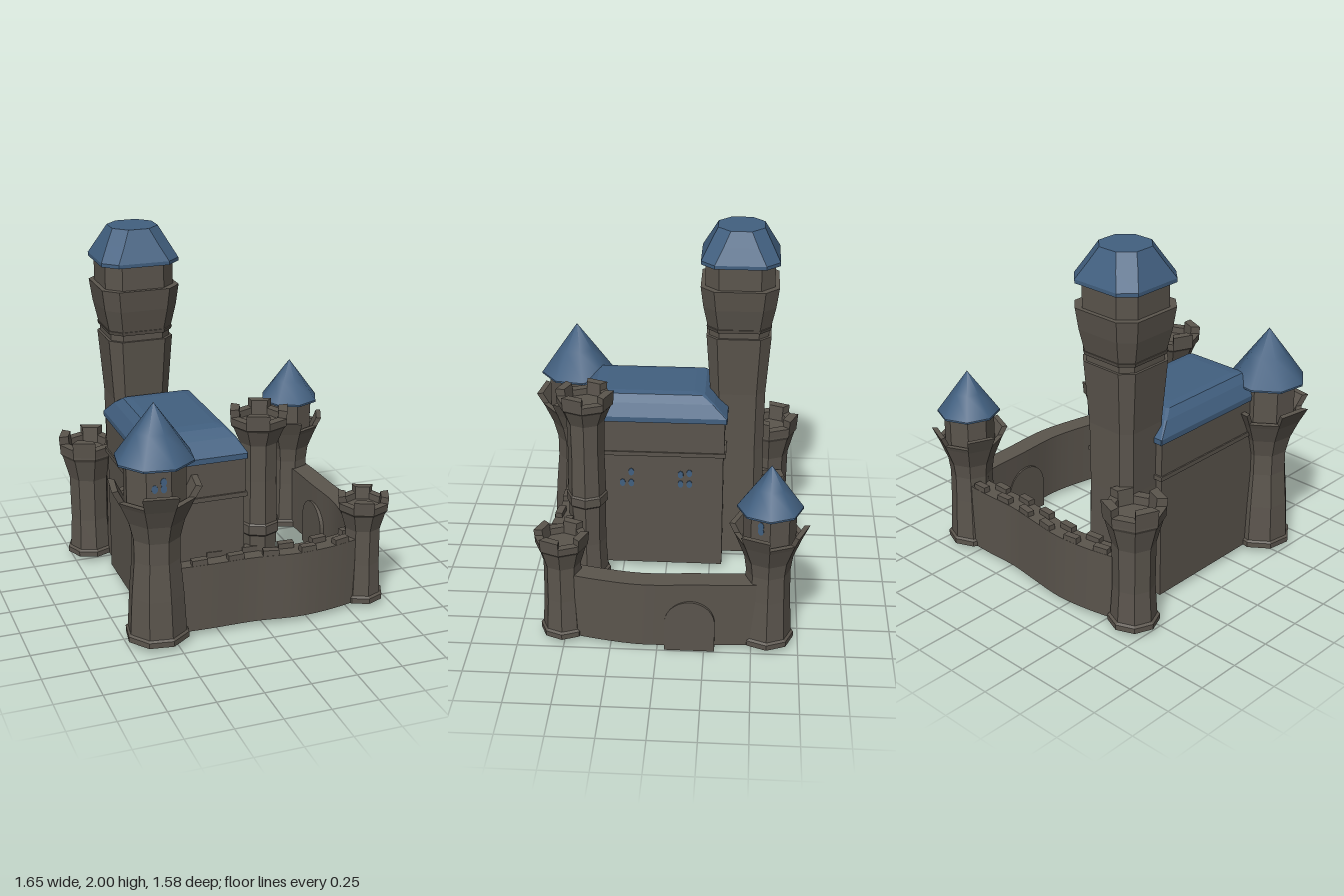
import * as THREE from 'three';

const stone = new THREE.MeshStandardMaterial({ color: 0x5b554d });
stone.name = 'stone';
const slate = new THREE.MeshStandardMaterial({ color: 0x426080 });
slate.name = 'blueSlate';

function add(parent, name, geometry, material, x = 0, y = 0, z = 0) {
  const mesh = new THREE.Mesh(geometry, material);
  mesh.name = name;
  mesh.position.set(x, y, z);
  parent.add(mesh);
  return mesh;
}

function faceted(geometry) {
  const g = geometry.index ? geometry.toNonIndexed() : geometry;
  g.computeVertexNormals();
  return g;
}

// Eight-sided turned form whose first facet faces the angle "turn" (from +x towards +z)
function octagonal(points, turn) {
  const pts = points.map(([r, y]) => new THREE.Vector2(r, y));
  return new THREE.LatheGeometry(pts, 8, Math.PI / 2 - turn - Math.PI / 8);
}

// Chamfered rectangular rings [halfX, halfZ, chamfer, y] joined into a closed solid
function loft(rings) {
  const loops = rings.map(([a, b, c, y]) => [
    [a, -b + c], [a, b - c], [a - c, b], [-a + c, b],
    [-a, b - c], [-a, -b + c], [-a + c, -b], [a - c, -b],
  ].map(([x, z]) => [x, y, z]));
  const pos = [];
  const tri = (...p) => p.forEach((v) => pos.push(...v));
  const last = loops[loops.length - 1];
  for (let k = 0; k + 1 < loops.length; k++) {
    for (let i = 0; i < 8; i++) {
      const j = (i + 1) % 8, b = loops[k], t = loops[k + 1];
      tri(b[i], t[i], t[j]);
      tri(b[i], t[j], b[j]);
    }
  }
  for (let i = 1; i < 7; i++) {
    tri(last[0], last[i + 1], last[i]);
    tri(loops[0][0], loops[0][i], loops[0][i + 1]);
  }
  const g = new THREE.BufferGeometry();
  g.setAttribute('position', new THREE.Float32BufferAttribute(pos, 3));
  return faceted(g);
}

// One merlon on a facet of an octagonal crown, leaning out from r0 to r1
function crownBlock(angle, r0, r1, thick, y0, y1) {
  const g = new THREE.BoxGeometry(1, 1, 1);
  const p = g.attributes.position;
  for (let i = 0; i < p.count; i++) {
    const a = angle - p.getX(i) * Math.PI / 4;
    const up = p.getY(i) > 0;
    const r = (up ? r1 : r0) - (p.getZ(i) < 0 ? thick : 0);
    p.setXYZ(i, r * Math.cos(a), up ? y1 : y0, r * Math.sin(a));
  }
  return faceted(g);
}

// Round tower: shaft profile, hollow crown and four merlons
function tower(parent, name, x, z, turn, shaft, crown) {
  const group = new THREE.Group();
  group.name = name;
  group.position.set(x, 0, z);
  parent.add(group);
  const { r0, r1, y0, yMid, y1, thick } = crown;
  const rMid = r0 + (r1 - r0) * (yMid - y0) / (y1 - y0);
  const foot = shaft[0][0] - 0.035;
  add(group, 'shaft', faceted(octagonal([
    [0, 0.06], [foot, 0.06], [foot, 0.03], ...shaft,
    [r0, y0], [rMid, yMid], [rMid - thick, yMid], [r0 - thick, y0], [0, y0],
  ], turn)), stone);
  for (let i = 0; i < 4; i++) {
    add(group, 'merlon', crownBlock(turn + i * Math.PI / 2, rMid, r1, thick, yMid, y1), stone);
  }
  return group;
}

// Drum and pointed roof above a tower's crown
function turret(group, turn, r, y0, y1, roofR, apex) {
  add(group, 'turretDrum', faceted(octagonal([[r, y0], [r, y1 + 0.01]], turn)), stone);
  add(group, 'roofUnderside', faceted(octagonal([[0, y1], [roofR, y1], [roofR, y1 + 0.01]], turn)), slate);
  add(group, 'pointedRoof', octagonal([
    [roofR, y1 + 0.01], [roofR * 0.5, y1 + (apex - y1) * 0.52], [0, apex],
  ], turn), slate);
}

// Curving wall of given thickness following ground points [x, z]
function wall(parent, name, points, merlons) {
  const curve = new THREE.CatmullRomCurve3(points.map(([x, z]) => new THREE.Vector3(x, 0, z)));
  const side = (u) => curve.getTangentAt(u).cross(new THREE.Vector3(0, 1, 0)).normalize();
  const g = new THREE.BoxGeometry(1, 0.375, 0.115, 24, 1, 1);
  const p = g.attributes.position;
  for (let i = 0; i < p.count; i++) {
    const u = THREE.MathUtils.clamp(p.getX(i) + 0.5, 0, 1);
    const v = curve.getPointAt(u).addScaledVector(side(u), p.getZ(i));
    p.setXYZ(i, v.x, p.getY(i) + 0.2175, v.z);
  }
  g.computeVertexNormals();
  add(parent, name, g, stone);
  // staggered merlons on both edges
  for (let i = 0; i < merlons; i++) {
    const u = (i + 0.5) / merlons;
    const v = curve.getPointAt(u).addScaledVector(side(u), i % 2 ? 0.036 : -0.036);
    const t = curve.getTangentAt(u);
    const m = add(parent, 'wallMerlon', new THREE.BoxGeometry(0.085, 0.045, 0.04), stone, v.x, 0.413, v.z);
    m.rotation.set(0, Math.atan2(-t.z, t.x), 0.04 * Math.sin(i * 2.3));
  }
}

function windowPane(parent, x, y, z, yaw) {
  const g = new THREE.CylinderGeometry(0.019, 0.019, 0.008, 10);
  g.rotateX(Math.PI / 2).scale(0.85, 1.2, 1);
  add(parent, 'window', g, slate, x, y, z).rotation.y = yaw;
}

export function createModel() {
  const model = new THREE.Group();
  model.name = 'castle';
  const deg = Math.PI / 180;

  // Corner towers
  const big = tower(model, 'frontLeftTower', -0.58, 0.55, 9 * deg, [
    [0.172, 0.03], [0.172, 0.06], [0.16, 0.07], [0.148, 0.28], [0.13, 0.48], [0.13, 0.6], [0.155, 0.7],
  ], { r0: 0.2, r1: 0.248, y0: 0.8, yMid: 0.825, y1: 0.89, thick: 0.035 });
  turret(big, 9 * deg, 0.165, 0.79, 1.02, 0.21, 1.32);
  for (const [dx, y] of [[-0.045, 0.915], [0, 0.915], [0, 0.95]]) {
    windowPane(big, dx, y, 0.153 + dx * 0.16, -9 * deg);
  }

  const back = tower(model, 'backRightTower', 0.617, -0.58, 22 * deg, [
    [0.145, 0.03], [0.145, 0.06], [0.132, 0.07], [0.12, 0.3], [0.117, 0.45], [0.128, 0.53],
  ], { r0: 0.172, r1: 0.21, y0: 0.64, yMid: 0.665, y1: 0.72, thick: 0.03 });
  turret(back, 22 * deg, 0.138, 0.63, 0.82, 0.172, 1.065);
  for (const y of [0.745, 0.775]) windowPane(back, 0.118, y, 0.046, 68 * deg);

  const small = (s) => [[0.125 * s, 0.03], [0.125 * s, 0.06], [0.112 * s, 0.07], [0.102 * s, 0.25]];
  tower(model, 'frontRightTower', 0.607, 0.51, 22.5 * deg,
    [...small(1), [0.1, 0.45], [0.128, 0.545], [0.14, 0.56]],
    { r0: 0.14, r1: 0.147, y0: 0.565, yMid: 0.6, y1: 0.635, thick: 0.045 });
  tower(model, 'backLeftTower', -0.635, -0.58, 22.5 * deg,
    [...small(1.1), [0.115, 0.5], [0.15, 0.63], [0.163, 0.65]],
    { r0: 0.163, r1: 0.17, y0: 0.66, yMid: 0.705, y1: 0.75, thick: 0.055 });
  tower(model, 'innerTower', 0.025, 0.44, 22.5 * deg,
    [...small(1), [0.105, 0.49], [0.115, 0.5], [0.115, 0.55], [0.107, 0.56], [0.102, 0.8], [0.105, 1.0],
      [0.14, 1.085], [0.155, 1.1]],
    { r0: 0.155, r1: 0.16, y0: 1.105, yMid: 1.14, y1: 1.18, thick: 0.05 });

  // Curtain walls
  wall(model, 'frontWall', [[-0.5, 0.53], [-0.3, 0.54], [-0.05, 0.545], [0.2, 0.575], [0.4, 0.555], [0.58, 0.51]], 11);
  wall(model, 'backWall', [[0.6, -0.6], [0.4, -0.605], [0.2, -0.602], [0, -0.625], [-0.2, -0.645], [-0.4, -0.625], [-0.6, -0.58]], 13);
  wall(model, 'rightWall', [[0.61, 0.48], [0.65, 0.32], [0.687, 0.08], [0.672, -0.2], [0.662, -0.42], [0.65, -0.55]], 0);

  // Arched gate set through the right wall
  const arch = new THREE.Shape();
  arch.moveTo(-0.133, 0);
  arch.lineTo(0.133, 0);
  arch.lineTo(0.133, 0.17);
  arch.absarc(0, 0.17, 0.133, 0, Math.PI, false);
  const gate = new THREE.ExtrudeGeometry(arch, { depth: 0.14, bevelEnabled: false, curveSegments: 10 });
  add(model, 'gate', gate, stone, 0.604, 0, -0.173).rotation.y = Math.PI / 2;

  // Great hall
  const hall = new THREE.Group();
  hall.name = 'greatHall';
  hall.position.set(-0.335, 0, 0.1);
  model.add(hall);
  add(hall, 'lowerWalls', new THREE.BoxGeometry(0.5, 0.71, 0.84), stone, 0, 0.385, 0);
  add(hall, 'ledge', new THREE.BoxGeometry(0.526, 0.025, 0.87), stone, 0, 0.745, 0);
  add(hall, 'upperWalls', new THREE.BoxGeometry(0.51, 0.21, 0.85), stone, 0, 0.85, 0);
  add(hall, 'hallRoof', loft([
    [0.265, 0.44, 0.005, 0.945], [0.265, 0.44, 0.005, 0.975], [0.225, 0.365, 0.01, 1.045],
    [0.19, 0.31, 0.015, 1.085], [0.15, 0.25, 0.015, 1.092],
  ]), slate);
  for (const [z, y] of [[0.25, 0.555], [0.2, 0.555], [0.2, 0.625], [-0.08, 0.555], [-0.13, 0.555], [-0.08, 0.615], [-0.13, 0.625]]) {
    windowPane(hall, 0.252, y, z - 0.1, Math.PI / 2);
  }

  // Tall keep with chamfered corners
  const keep = new THREE.Group();
  keep.name = 'keep';
  keep.position.set(-0.395, 0, -0.39);
  model.add(keep);
  const tier = (name, rows, material = stone) =>
    add(keep, name, loft(rows.map(([h, c, y]) => [h, h, c, y])), material);
  tier('keepShaft', [[0.16, 0.05, 0.03], [0.152, 0.05, 0.7], [0.155, 0.05, 1.05], [0.18, 0.06, 1.395]]);
  tier('keepNeck', [[0.166, 0.055, 1.39], [0.166, 0.055, 1.45]]);
  tier('keepNeckBand', [[0.175, 0.06, 1.43], [0.18, 0.06, 1.45]]);
  tier('keepGallery', [[0.175, 0.06, 1.45], [0.2, 0.07, 1.57], [0.215, 0.075, 1.685]]);
  tier('keepLookout', [[0.19, 0.075, 1.68], [0.19, 0.075, 1.83]]);
  tier('keepRoof', [[0.215, 0.075, 1.815], [0.215, 0.075, 1.835], [0.17, 0.075, 1.92], [0.127, 0.07, 2.0]], slate);

  return model;
}
